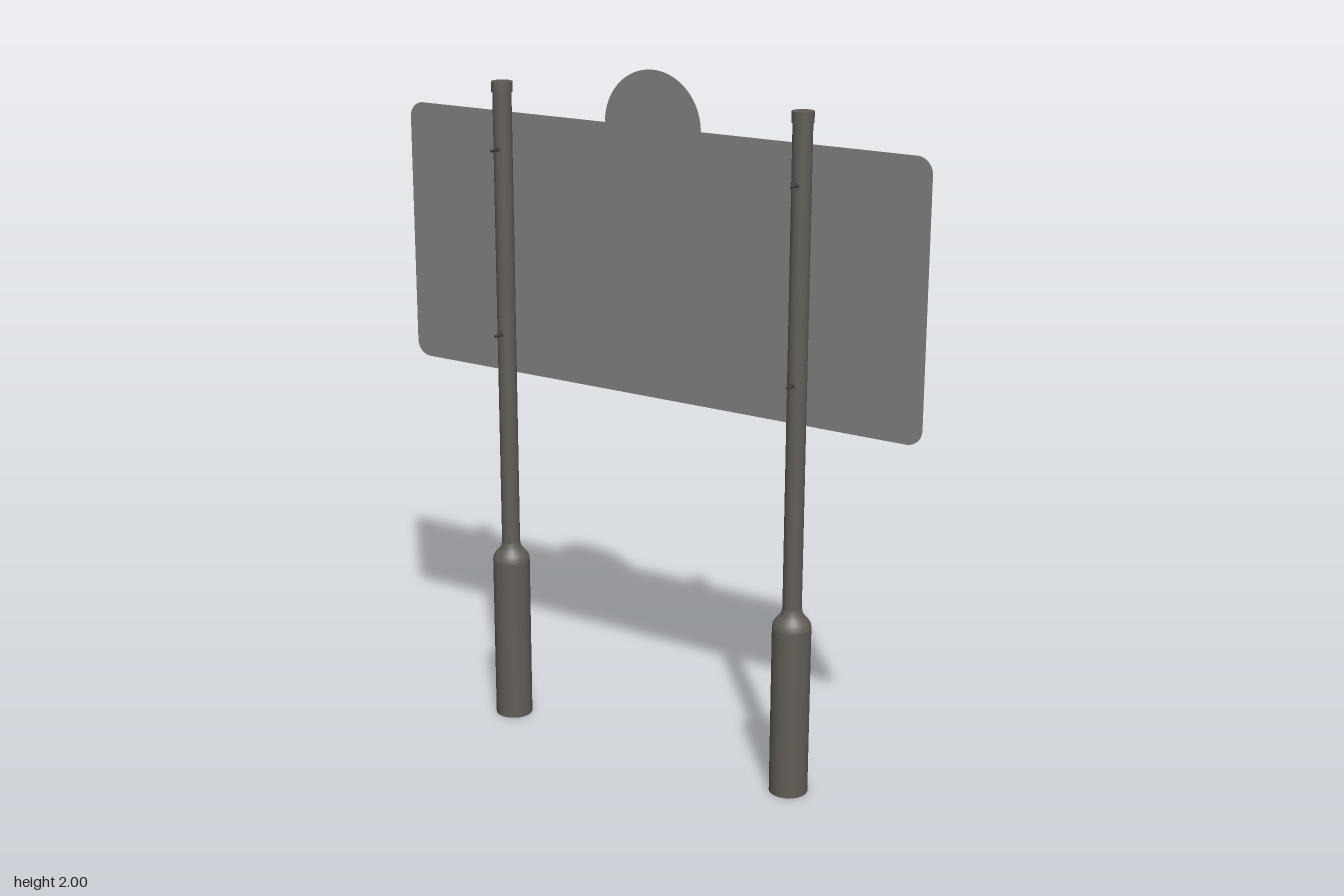
import * as THREE from 'three';

const mat = (name, color, side = THREE.FrontSide) => {
  const m = new THREE.MeshStandardMaterial({ color, side });
  m.name = name;
  return m;
};

// Panel outline: rounded rectangle with a semicircular crest, inset by d
function panelOutline(d, Type = THREE.Shape) {
  const w = 0.84 - d, y0 = 1.08 + d, y1 = 1.845 - d, r = 0.045 - d * 0.8;
  const crest = 0.154 - d, cy = 1.846;
  const s = new Type();
  s.moveTo(-w + r, y0);
  s.lineTo(w - r, y0);
  s.absarc(w - r, y0 + r, r, -Math.PI / 2, 0, false);
  s.lineTo(w, y1 - r);
  s.absarc(w - r, y1 - r, r, 0, Math.PI / 2, false);
  s.lineTo(crest, y1);
  s.absarc(0, cy, crest, 0, Math.PI, false);
  s.lineTo(-crest, y1);
  s.lineTo(-w + r, y1);
  s.absarc(-w + r, y1 - r, r, Math.PI / 2, Math.PI, false);
  s.lineTo(-w, y0 + r);
  s.absarc(-w + r, y0 + r, r, Math.PI, Math.PI * 1.5, false);
  return s;
}

export function createModel() {
  const root = new THREE.Group();
  root.name = 'roadSign';
  const postMat = mat('post brown grey', 0x625d56);
  const boltMat = mat('bolt dark grey', 0x45423f);
  const sheetMat = mat('sheet grey', 0x808080);
  const borderMat = mat('border light grey', 0xb4b4b4);
  const greenMat = mat('sign green', 0x0d8a22);

  const add = (parent, name, geo, material, x = 0, y = 0, z = 0) => {
    const m = new THREE.Mesh(geo, material);
    m.name = name;
    m.position.set(x, y, z);
    parent.add(m);
    return m;
  };
  const plate = (shape, depth) =>
    new THREE.ExtrudeGeometry(shape, { depth, bevelEnabled: false, curveSegments: 24 });

  // Sheet, with border and green face on its -z side
  add(root, 'signSheet', plate(panelOutline(0), 0.002), sheetMat, 0, 0, -0.031);
  const rim = panelOutline(0);
  rim.holes.push(panelOutline(0.02, THREE.Path));
  add(root, 'signBorder', plate(rim, 0.001), borderMat, 0, 0, -0.032);
  add(root, 'signFace', plate(panelOutline(0.02), 0.001), greenMat, 0, 0, -0.032);

  // Post sections: thick base, curved shoulder, slim pole, cap
  const V = (x, y) => new THREE.Vector2(x, y);
  const lathe = (...p) => new THREE.LatheGeometry(p, 32);
  const shoulder = [V(0.055, 0.5), V(0.053, 0.512), V(0.047, 0.522),
    V(0.036, 0.534), V(0.03, 0.543), V(0.027, 0.558)];
  const rod = (r, len) => new THREE.CylinderGeometry(r, r, len, 12).rotateX(Math.PI / 2);

  for (const [side, x] of [['left', 0.482], ['right', -0.484]]) {
    const post = new THREE.Group();
    post.name = side + 'Post';
    post.position.x = x;
    root.add(post);
    add(post, 'postBase', new THREE.CylinderGeometry(0.055, 0.055, 0.5, 32), postMat, 0, 0.25);
    add(post, 'postShoulder', lathe(...shoulder), postMat);
    add(post, 'postPole', new THREE.CylinderGeometry(0.027, 0.027, 1.36, 32), postMat, 0, 1.235);
    add(post, 'postCap', new THREE.CylinderGeometry(0.03, 0.03, 0.03, 32), postMat, 0, 1.92);
    // Through bolts: shank in front of the pole, head on the sign face
    for (const y of [1.205, 1.745]) {
      add(post, 'boltShank', rod(0.004, 0.095), boltMat, 0, y, 0.0085);
      add(post, 'boltNut', rod(0.007, 0.008), boltMat, 0, y, 0.03);
      add(post, 'boltHead', rod(0.009, 0.008), boltMat, 0, y, -0.036);
    }
  }

  // The whole sign stands slightly turned
  root.rotation.y = -0.0268;
  const model = new THREE.Group();
  model.name = 'signModel';
  model.add(root);
  return model;
}
